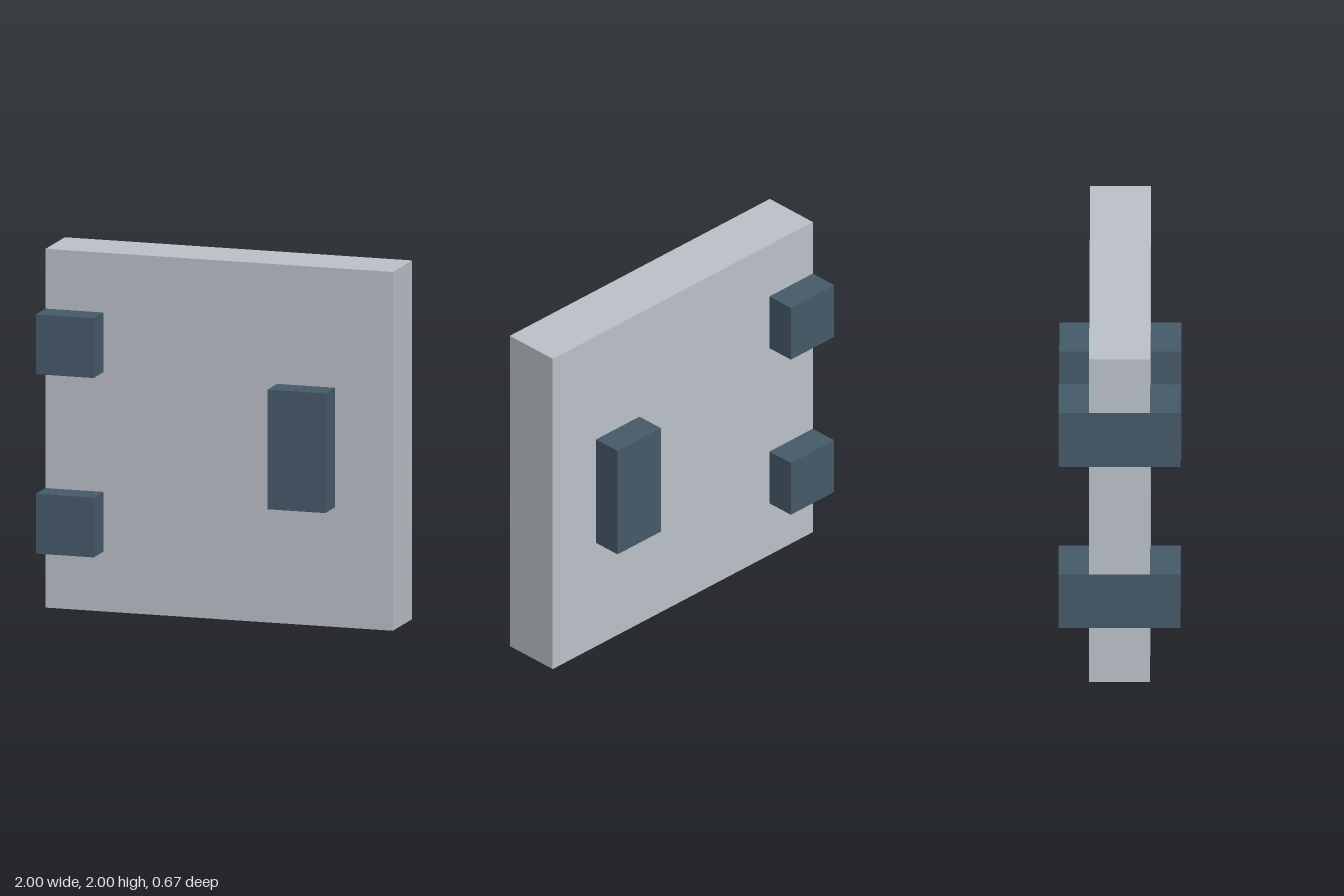
import * as THREE from 'three';

export function createModel() {
  const model = new THREE.Group();
  model.name = 'door';

  const paleMetal = new THREE.MeshStandardMaterial({ color: 0xbdc2ca });
  paleMetal.name = 'pale metal';
  const darkMetal = new THREE.MeshStandardMaterial({ color: 0x465a6a });
  darkMetal.name = 'dark metal';

  const u = 1 / 3; // module size
  const add = (name, geometry, material, x, y, z) => {
    const mesh = new THREE.Mesh(geometry, material);
    mesh.name = name;
    mesh.position.set(x, y, z);
    model.add(mesh);
  };

  // Door panel, notched on its edge where the hinges wrap around
  const outline = new THREE.Shape([
    [-1, 0], [1, 0], [1, 2], [-1, 2],
    [-1, 5 * u], [-2 * u, 5 * u], [-2 * u, 4 * u], [-1, 4 * u],
    [-1, 2 * u], [-2 * u, 2 * u], [-2 * u, u], [-1, u],
  ].map(([x, y]) => new THREE.Vector2(x, y)));
  const panel = new THREE.ExtrudeGeometry(outline, { depth: u, bevelEnabled: false });
  add('panel', panel, paleMetal, 0, 0, -u / 2);

  // Hinges run through the full thickness and stay flush with the edge
  const hinge = new THREE.BoxGeometry(u, u, 2 * u);
  add('lowerHinge', hinge, darkMetal, -2.5 * u, 1.5 * u, 0);
  add('upperHinge', hinge, darkMetal, -2.5 * u, 4.5 * u, 0);

  // One handle on each face
  const handle = new THREE.BoxGeometry(u, 2 * u, u / 2);
  add('frontHandle', handle, darkMetal, 1.5 * u, 1, 0.75 * u);
  add('backHandle', handle, darkMetal, 1.5 * u, 1, -0.75 * u);

  return model;
}
